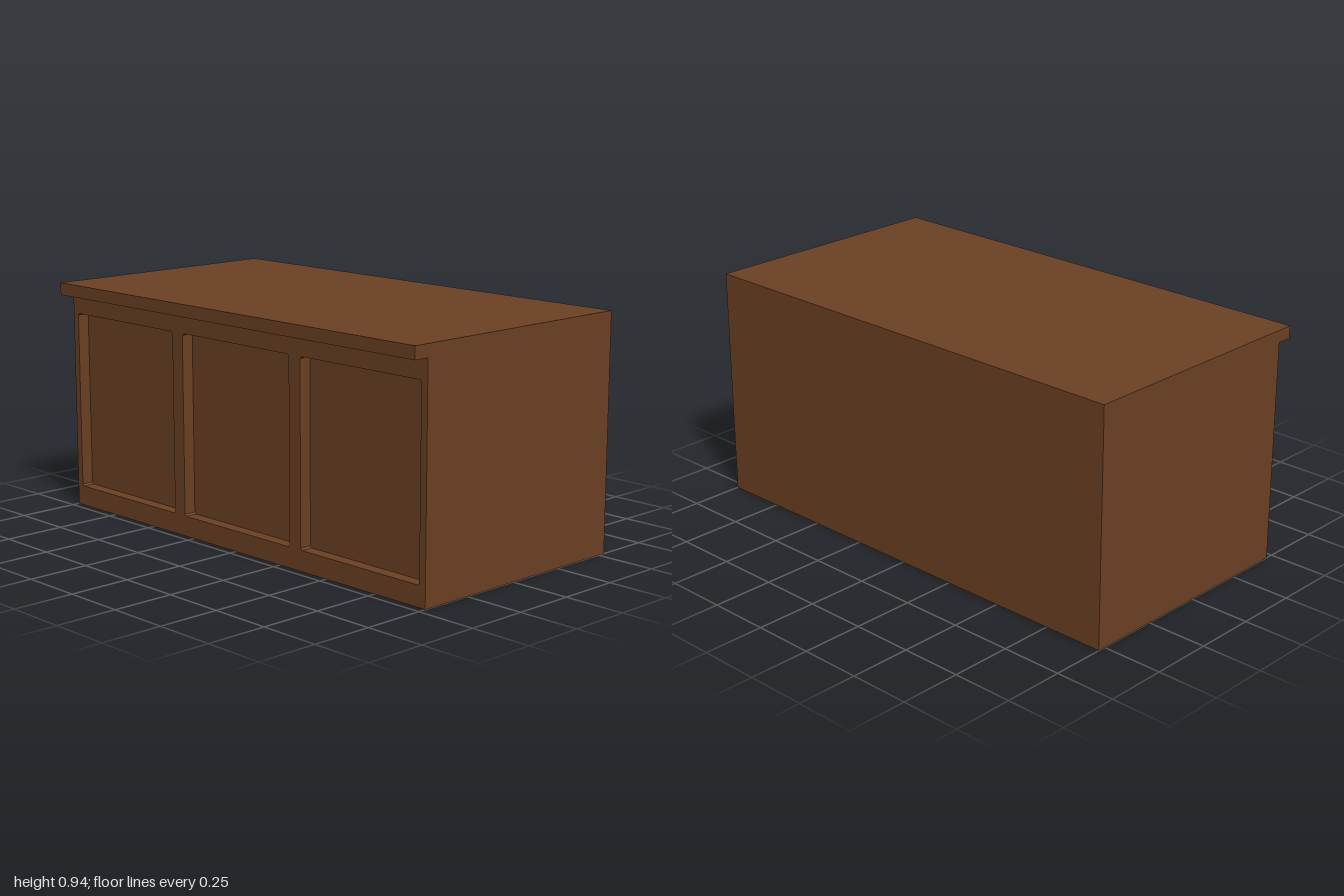
import * as THREE from 'three';

const W = 1, FRONT = 0.468, LIP = 0.532, BACK = -0.532, TOP = 0.945, LIP_Y = 0.895;
const RECESS = 0.05;

// Outline of a panel with slightly clipped corners
function panelPoints(x0, x1, y0, y1, c = 0.007) {
  return [
    [x0 + c, y0], [x1 - c, y0], [x1, y0 + c], [x1, y1 - c],
    [x1 - c, y1], [x0 + c, y1], [x0, y1 - c], [x0, y0 + c],
  ].map(([x, y]) => new THREE.Vector2(x, y));
}

// Flat-shaded band joining an outline at two depths
function bandGeometry(points, zFront, zBack) {
  const pos = [];
  points.forEach((a, i) => {
    const b = points[(i + 1) % points.length];
    pos.push(a.x, a.y, zFront, b.x, b.y, zFront, b.x, b.y, zBack);
    pos.push(a.x, a.y, zFront, b.x, b.y, zBack, a.x, a.y, zBack);
  });
  const g = new THREE.BufferGeometry();
  g.setAttribute('position', new THREE.Float32BufferAttribute(pos, 3));
  g.computeVertexNormals();
  return g;
}

export function createModel() {
  const group = new THREE.Group();
  const wood = new THREE.MeshStandardMaterial({ color: 0x6b4023, side: THREE.DoubleSide });
  wood.name = 'brown wood';

  const add = (name, geometry, parent = group) => {
    const mesh = new THREE.Mesh(geometry, wood);
    mesh.name = name;
    parent.add(mesh);
    return mesh;
  };

  // Worktop and its overhanging front lip
  add('worktop', new THREE.PlaneGeometry(2 * W, LIP - BACK)
    .rotateX(-Math.PI / 2).translate(0, TOP, (LIP + BACK) / 2));
  add('lipFront', new THREE.PlaneGeometry(2 * W, TOP - LIP_Y)
    .translate(0, (TOP + LIP_Y) / 2, LIP));
  add('lipUnderside', new THREE.PlaneGeometry(2 * W, LIP - FRONT)
    .rotateX(Math.PI / 2).translate(0, LIP_Y, (LIP + FRONT) / 2));

  // Back wall; the underside stays open
  add('backWall', new THREE.PlaneGeometry(2 * W, TOP)
    .rotateY(Math.PI).translate(0, TOP / 2, BACK));

  // End walls, including the lip profile
  const profile = new THREE.Shape([
    [BACK, 0], [FRONT, 0], [FRONT, LIP_Y], [LIP, LIP_Y], [LIP, TOP], [BACK, TOP],
  ].map(([z, y]) => new THREE.Vector2(-z, y)));
  add('leftWall', new THREE.ShapeGeometry(profile).rotateY(Math.PI / 2).translate(W, 0, 0));
  const mirrored = new THREE.Shape(profile.getPoints().map((p) => new THREE.Vector2(-p.x, p.y)));
  add('rightWall', new THREE.ShapeGeometry(mirrored).rotateY(-Math.PI / 2).translate(-W, 0, 0));

  // Front wall with three recessed panels
  const front = new THREE.Shape([[-W, 0], [W, 0], [W, LIP_Y], [-W, LIP_Y]]
    .map(([x, y]) => new THREE.Vector2(x, y)));
  for (const cx of [-0.667, 0, 0.667]) {
    const points = panelPoints(cx - 0.303, cx + 0.303, 0.082, 0.814);
    front.holes.push(new THREE.Path(points));
    const panel = new THREE.Group();
    panel.name = 'recessedPanel';
    add('panelFace', new THREE.ShapeGeometry(new THREE.Shape(points))
      .translate(0, 0, FRONT - RECESS), panel);
    // Reversed outline makes the band face into the recess
    add('panelReveal', bandGeometry(points, FRONT, FRONT - RECESS), panel);
    group.add(panel);
  }
  add('frontWall', new THREE.ShapeGeometry(front).translate(0, 0, FRONT));

  return group;
}
